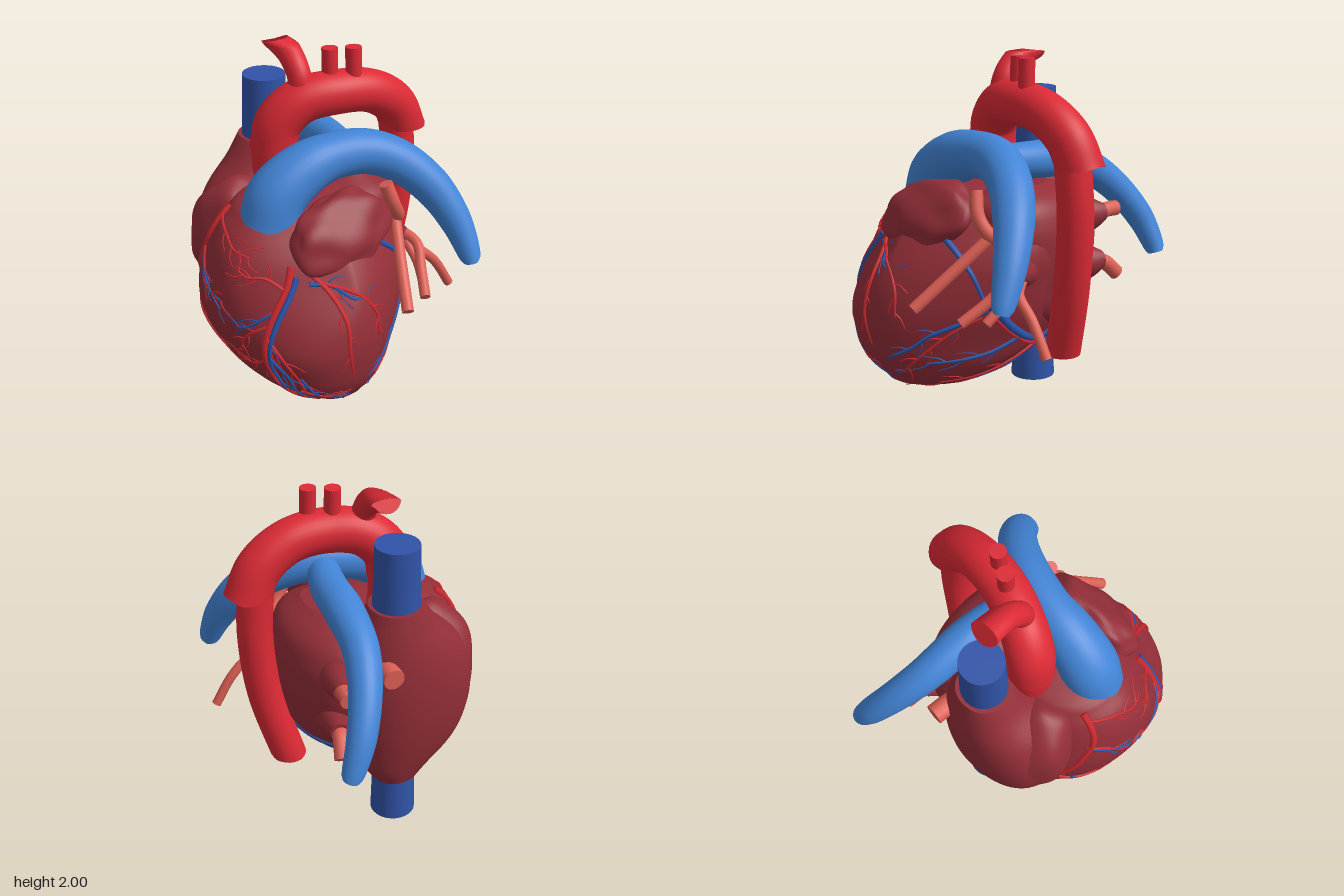
import * as THREE from 'three';
import { mergeGeometries } from 'three/addons/utils/BufferGeometryUtils.js';

const mat = (name, color) => Object.assign(new THREE.MeshStandardMaterial({ color }), { name });
const V = (p) => new THREE.Vector3(...p);

// Capped tube whose radius follows the path points; lo and hi cut it flat in y.
function taperedTube(points, radii, { seg = 40, sides = 24, lo = -9, hi = 9 } = {}) {
  const curve = new THREE.CatmullRomCurve3(points.map(V));
  const radiusAt = (u) => {
    const f = curve.getUtoTmapping(u) * (radii.length - 1);
    const i = Math.min(Math.floor(f), radii.length - 2);
    return THREE.MathUtils.lerp(radii[i], radii[i + 1], f - i);
  };
  const tube = new THREE.TubeGeometry(curve, seg, 1, sides);
  const pos = tube.attributes.position, p = new THREE.Vector3();
  for (let i = 0; i <= seg; i++) {
    const c = curve.getPointAt(i / seg), r = radiusAt(i / seg);
    for (let j = 0; j <= sides; j++) {
      const k = i * (sides + 1) + j;
      p.fromBufferAttribute(pos, k).sub(c).multiplyScalar(r).add(c);
      pos.setXYZ(k, p.x, p.y, p.z);
    }
  }
  const caps = [0, 1].map((u) => {
    const dir = curve.getTangentAt(u).multiplyScalar(u ? 1 : -1);
    const q = new THREE.Quaternion().setFromUnitVectors(new THREE.Vector3(0, 0, 1), dir);
    const c = curve.getPointAt(u);
    return new THREE.CircleGeometry(radiusAt(u), sides).applyQuaternion(q).translate(c.x, c.y, c.z);
  });
  const g = mergeGeometries([tube, ...caps]);
  const a = g.attributes.position;
  for (let k = 0; k < a.count; k++) a.setY(k, THREE.MathUtils.clamp(a.getY(k), lo, hi));
  return g;
}

// Smooth stack of horizontal sections; each row is [y, xMin, xMax, zMin, zMax].
function makeSections(rows) {
  const f = new THREE.CubicInterpolant(rows.map((r) => r[0]), rows.flatMap((r) => r.slice(1)), 4, new Float32Array(4));
  const lo = rows[0][0], hi = rows[rows.length - 1][0];
  const at = (y) => {
    const [x0, x1, z0, z1] = f.evaluate(THREE.MathUtils.clamp(y, lo, hi));
    return { y, cx: (x0 + x1) / 2, cz: (z0 + z1) / 2, rx: Math.max(0, x1 - x0) / 2, rz: Math.max(0, z1 - z0) / 2 };
  };
  return { lo, hi, at };
}
const POWER = 2.2;
const bend = (v) => Math.sign(v) * Math.abs(v) ** (2 / POWER);
const plainZ = (s, u, w) => s.cz + s.rz * w;
// Ventricle sections: the left side is swung forward and flattened behind and above.
const ventricleZ = (s, u, w) => {
  const k = Math.max(0, u) ** 2;
  const cut = w < 0 ? 0.36 : 0.8 * THREE.MathUtils.smoothstep(s.y, 0.5, 1.0);
  return s.cz + s.rz * (w * (1 - cut * k) + 0.14 * k);
};

function loft({ lo, hi, at }, zRule = plainZ, n = 72, m = 52) {
  const pos = [], idx = [];
  for (let j = -1; j <= m + 1; j++) {
    const t = THREE.MathUtils.clamp(j / m, 0, 1);
    const s = at(lo + (hi - lo) * (1 - Math.cos(Math.PI * t)) / 2), k = j < 0 || j > m ? 0 : 1;
    for (let i = 0; i < n; i++) {
      const a = (i / n) * Math.PI * 2, u = k * bend(Math.cos(a));
      pos.push(s.cx + s.rx * u, s.y, zRule(s, u, k * bend(Math.sin(a))));
    }
  }
  for (let j = 0; j < m + 2; j++) for (let i = 0; i < n; i++) {
    const a = j * n + i, b = j * n + (i + 1) % n;
    idx.push(a, a + n, b, b, a + n, b + n);
  }
  const g = new THREE.BufferGeometry();
  g.setAttribute('position', new THREE.Float32BufferAttribute(pos, 3));
  g.setIndex(idx);
  g.computeVertexNormals();
  return g;
}

// Ellipsoid with gentle lumps.
function lump(radii, amount, freq) {
  const g = new THREE.SphereGeometry(1, 48, 32), a = g.attributes.position, p = new THREE.Vector3();
  for (let i = 0; i < a.count; i++) {
    p.fromBufferAttribute(a, i);
    const k = 1 + amount * Math.sin(p.x * freq + 1) * Math.sin(p.y * freq) * Math.cos(p.z * freq);
    a.setXYZ(i, p.x * k * radii[0], p.y * k * radii[1], p.z * k * radii[2]);
  }
  g.computeVertexNormals();
  return g;
}

export function createModel() {
  const group = new THREE.Group();
  const muscle = mat('heart muscle', 0x932e38), aortaRed = mat('aorta red', 0xdc2a35);
  const lungBlue = mat('pulmonary artery blue', 0x4284d6), cavaBlue = mat('vena cava blue', 0x3154a8);
  const salmon = mat('pulmonary vein salmon', 0xdc5f54);
  const coronaryRed = mat('coronary red', 0xd0292f), coronaryBlue = mat('coronary blue', 0x2a55ac);
  const add = (name, geometry, material) => {
    const m = new THREE.Mesh(geometry, material);
    m.name = name;
    group.add(m);
    return m;
  };

  // Ventricles
  const body = makeSections([
    [0.178, 0.46, 0.5, 0.14, 0.18], [0.2, 0.27, 0.63, 0, 0.33], [0.25, 0.03, 0.69, -0.15, 0.46],
    [0.35, -0.21, 0.76, -0.28, 0.6], [0.5, -0.385, 0.795, -0.37, 0.68], [0.65, -0.385, 0.8, -0.43, 0.735],
    [0.8, -0.36, 0.77, -0.46, 0.75], [0.95, -0.31, 0.7, -0.48, 0.725], [1.1, -0.25, 0.585, -0.44, 0.66],
    [1.2, -0.2, 0.47, -0.35, 0.56], [1.27, -0.1, 0.33, -0.2, 0.4], [1.3, 0.1, 0.16, 0.05, 0.11]]);
  add('ventricles', loft(body, ventricleZ), muscle);

  // Atria and auricles
  add('rightAtrium', loft(makeSections([
    [0.28, -0.465, -0.175, -0.12, 0.16], [0.36, -0.49, -0.15, -0.17, 0.25], [0.5, -0.53, -0.11, -0.2, 0.41],
    [0.7, -0.56, -0.06, -0.23, 0.5], [0.95, -0.565, -0.04, -0.24, 0.5], [1.15, -0.54, -0.06, -0.22, 0.41],
    [1.3, -0.505, -0.12, -0.18, 0.26], [1.425, -0.475, -0.17, -0.13, 0.17]])), muscle);
  add('leftAtrium', loft(makeSections([
    [0.5, -0.15, 0.15, -0.35, -0.1], [0.6, -0.3, 0.3, -0.44, 0], [0.75, -0.4, 0.39, -0.48, 0.1],
    [0.95, -0.43, 0.43, -0.505, 0.1], [1.12, -0.41, 0.42, -0.49, 0.1], [1.24, -0.32, 0.38, -0.42, 0.05],
    [1.31, -0.1, 0.25, -0.3, -0.1]])), muscle);
  const rightAuricle = add('rightAuricle', lump([0.21, 0.35, 0.24], 0.08, 4), muscle);
  rightAuricle.position.set(-0.27, 0.95, 0.32);
  rightAuricle.rotation.z = -0.42;
  const leftAuricle = add('leftAuricle', lump([0.115, 0.21, 0.32], 0.12, 4.5), muscle);
  leftAuricle.position.set(0.48, 1.155, 0.14);
  leftAuricle.rotation.set(0.2, 0, 0.58);

  // Venae cavae
  for (const [name, y0, y1] of [['superiorVenaCava', 1.38, 1.785], ['inferiorVenaCava', 0, 0.34]])
    add(name, new THREE.CylinderGeometry(0.122, 0.132, y1 - y0, 40).translate(-0.325, (y0 + y1) / 2, 0.02), cavaBlue);

  // Aorta and its branches
  add('aorticRoot', taperedTube([[-0.07, 1.1, 0.1], [-0.085, 1.3, 0.135], [-0.09, 1.5, 0.145]], [0.122, 0.124, 0.127], { hi: 1.46 }), aortaRed);
  add('aorticArch', taperedTube([[-0.09, 1.42, 0.145], [-0.07, 1.6, 0.12], [-0.01, 1.715, 0.01], [0.07, 1.745, -0.17],
    [0.12, 1.715, -0.38], [0.14, 1.6, -0.55], [0.14, 1.42, -0.64]], [0.133, 0.133, 0.128, 0.124, 0.122, 0.125, 0.13],
  { seg: 60, sides: 32, lo: 1.455 }), aortaRed);
  add('descendingAorta', taperedTube([[0.14, 1.55, -0.57], [0.14, 1.2, -0.6], [0.12, 0.8, -0.57], [0.05, 0.34, -0.465]],
    [0.1, 0.1, 0.1, 0.1], { lo: 0.36 }), aortaRed);
  add('brachiocephalicArtery', taperedTube([[0, 1.75, 0.01], [-0.03, 1.87, 0.01], [-0.12, 1.96, 0], [-0.26, 2.03, -0.01]],
    [0.075, 0.066, 0.07, 0.085], { hi: 2 }), aortaRed);
  for (const [name, x, z] of [['carotidArtery', 0.05, -0.145], ['subclavianArtery', 0.12, -0.255]])
    add(name, taperedTube([[x, 1.75, z], [x, 1.87, z], [x - 0.005, 2, z]], [0.052, 0.045, 0.045], { seg: 10, hi: 2 }), aortaRed);

  // Pulmonary arteries
  add('leftPulmonaryArtery', taperedTube([[0.17, 1.15, 0.39], [0.175, 1.31, 0.33], [0.2, 1.425, 0.17], [0.23, 1.465, 0],
    [0.3, 1.46, -0.2], [0.4, 1.385, -0.36], [0.53, 1.24, -0.49], [0.66, 1.04, -0.57], [0.76, 0.84, -0.6], [0.77, 0.81, -0.6]],
  [0.165, 0.168, 0.15, 0.13, 0.126, 0.12, 0.11, 0.09, 0.06, 0.04], { seg: 64, sides: 32 }), lungBlue);
  add('rightPulmonaryArtery', taperedTube([[0.22, 1.44, -0.12], [0, 1.425, -0.2], [-0.2, 1.41, -0.24], [-0.45, 1.32, -0.29],
    [-0.62, 1.18, -0.37], [-0.74, 0.99, -0.47], [-0.78, 0.81, -0.55], [-0.78, 0.78, -0.56]],
  [0.09, 0.105, 0.11, 0.1, 0.09, 0.08, 0.06, 0.045], { seg: 56, sides: 28 }), lungBlue);

  // Pulmonary veins
  const veins = [
    [[[0.47, 1.33, -0.19], [0.5, 1.2, -0.23], [0.47, 1.1, -0.29], [0.34, 1.05, -0.3]], 0.038],
    [[[0.42, 1.13, -0.31], [0.6, 0.95, -0.19], [0.82, 0.735, -0.05]], 0.033],
    [[[0.36, 0.92, -0.42], [0.5, 0.88, -0.43], [0.6, 0.78, -0.37], [0.72, 0.68, -0.29]], 0.03],
    [[[0.36, 0.86, -0.42], [0.47, 0.81, -0.48], [0.5, 0.7, -0.59], [0.52, 0.52, -0.7]], 0.028],
    [[[0.42, 0.87, -0.42], [0.52, 0.77, -0.42], [0.62, 0.67, -0.38]], 0.028],
    [[[-0.38, 1.06, -0.38], [-0.47, 1.08, -0.4], [-0.54, 1.08, -0.42]], 0.045],
    [[[-0.4, 1.1, -0.13], [-0.5, 1.13, -0.14], [-0.565, 1.13, -0.15]], 0.06],
    [[[-0.36, 0.79, -0.37], [-0.44, 0.77, -0.41], [-0.52, 0.69, -0.45]], 0.045]];
  veins.forEach(([path, r]) => add('pulmonaryVein', taperedTube(path, path.map(() => r), { seg: 20, sides: 14 }), salmon));
  for (const [x, y, z] of [[-0.44, 1.07, -0.39], [-0.42, 0.79, -0.4], [0.42, 0.89, -0.41]])
    add('veinCollar', taperedTube([[x * 0.55, y, z * 0.75], [x * 0.8, y, z * 0.92], [x, y, z]], [0.14, 0.1, 0.055], { seg: 12 }), muscle);

  // Coronary vessels: 2D paths laid on the ventricles from the front, back or left side
  const rim = (c) => (1 - Math.min(Math.abs(c), 0.985) ** POWER) ** (1 / POWER);
  const fromZ = (x, y, dir) => {
    const s = body.at(y), u = (x - s.cx) / s.rx;
    return [x, y, ventricleZ(s, u, dir * rim(u))];
  };
  const fromSide = (z, y) => {
    const s = body.at(y), dir = z > ventricleZ(s, 0.985, 0) ? 1 : -1;
    let a = 0, b = 0.985;
    for (let i = 0; i < 20; i++) {
      const u = (a + b) / 2;
      if (dir * (ventricleZ(s, u, dir * rim(u)) - z) > 0) a = u; else b = u;
    }
    return [s.cx + s.rx * a, y, z];
  };
  const project = { front: (x, y) => fromZ(x, y, 1), back: (x, y) => fromZ(x, y, -1), side: fromSide };
  const red = [], blue = [];
  const drape = (list, face, path, r, n) => {
    const pts = new THREE.SplineCurve(path.map((p) => new THREE.Vector2(...p))).getPoints(n);
    const w = pts.map((p) => project[face](p.x, Math.max(p.y, 0.19)));
    list.push(taperedTube(w, w.map((_, i) => r * (1 - 0.55 * i / n)), { seg: n * 2, sides: 6 }));
    return pts;
  };
  const vessel = (list, face, r, ...path) => {
    const pts = drape(list, face, path, r, 18);
    // Short side twigs, alternating left and right
    [5, 8, 11, 14, 17].forEach((k, i) => {
      const p = pts[k], d = pts[k].clone().sub(pts[k - 1]).normalize(), s = i % 2 ? 1 : -1;
      const at = (len, ang) => d.clone().rotateAround(new THREE.Vector2(), ang * s).multiplyScalar(len).add(p).toArray();
      drape(list, face, [[p.x, p.y], at(0.045, 0.8), at(0.1, 0.55)], Math.min(r * 0.5, 0.006), 6);
    });
  };
  // Right coronary artery and its branches
  drape(red, 'front', [[-0.04, 1.22], [-0.08, 1.05], [-0.16, 0.9], [-0.26, 0.72], [-0.34, 0.58], [-0.36, 0.5]], 0.022, 18);
  vessel(red, 'front', 0.014, [-0.3, 0.68], [-0.2, 0.6], [-0.05, 0.58], [0.05, 0.5], [0.16, 0.47]);
  vessel(blue, 'front', 0.012, [-0.22, 0.63], [-0.16, 0.55], [-0.08, 0.5], [-0.04, 0.42]);
  vessel(red, 'front', 0.015, [-0.35, 0.48], [-0.2, 0.37], [0, 0.285], [0.2, 0.25], [0.4, 0.23]);
  vessel(blue, 'front', 0.014, [-0.33, 0.5], [-0.19, 0.395], [0.02, 0.305], [0.22, 0.27]);
  vessel(red, 'front', 0.012, [-0.12, 1.0], [-0.03, 0.95], [0.06, 0.85], [0.22, 0.83]);
  vessel(blue, 'front', 0.013, [-0.1, 0.98], [-0.01, 0.92], [0.08, 0.86], [0.2, 0.78]);
  vessel(red, 'front', 0.01, [-0.04, 1.18], [0.1, 1.15], [0.2, 1.11], [0.3, 1.09]);
  // Anterior vessels
  vessel(red, 'front', 0.022, [0.46, 1.05], [0.49, 0.95], [0.495, 0.8], [0.49, 0.6], [0.5, 0.45], [0.56, 0.32], [0.58, 0.22]);
  vessel(blue, 'front', 0.019, [0.5, 1.0], [0.52, 0.88], [0.52, 0.7], [0.515, 0.52], [0.54, 0.4], [0.53, 0.25]);
  vessel(red, 'front', 0.011, [0.48, 0.95], [0.4, 1.0], [0.33, 1.0], [0.27, 1.03]);
  vessel(red, 'front', 0.012, [0.49, 0.77], [0.42, 0.72], [0.36, 0.65], [0.32, 0.55]);
  vessel(blue, 'front', 0.011, [0.5, 0.85], [0.43, 0.78], [0.38, 0.74], [0.33, 0.73]);
  vessel(red, 'front', 0.011, [0.49, 0.57], [0.42, 0.51], [0.34, 0.48], [0.25, 0.48]);
  vessel(blue, 'front', 0.012, [0.51, 0.6], [0.58, 0.5], [0.6, 0.4], [0.58, 0.3]);
  vessel(red, 'front', 0.011, [0.5, 0.7], [0.57, 0.62], [0.63, 0.5], [0.65, 0.35]);
  // Left side vessels
  vessel(red, 'side', 0.018, [0.4, 1.02], [0.35, 0.93], [0.33, 0.8], [0.34, 0.62], [0.3, 0.45]);
  vessel(red, 'side', 0.014, [0.36, 0.97], [0.24, 0.92], [0.14, 0.8], [0.12, 0.65]);
  vessel(blue, 'side', 0.015, [0.42, 0.97], [0.33, 0.96], [0.26, 0.9], [0.18, 0.88]);
  vessel(blue, 'side', 0.016, [-0.3, 0.7], [-0.2, 0.63], [-0.05, 0.55], [0.05, 0.47], [0.2, 0.39]);
  vessel(red, 'side', 0.012, [-0.28, 0.66], [-0.15, 0.57], [-0.02, 0.45], [0.1, 0.33]);
  vessel(blue, 'side', 0.01, [0.56, 0.48], [0.48, 0.36], [0.36, 0.29], [0.22, 0.26]);
  vessel(red, 'side', 0.009, [0.54, 0.38], [0.42, 0.33], [0.3, 0.34], [0.2, 0.3]);
  drape(blue, 'side', [[-0.06, 1.06], [-0.16, 0.98], [-0.24, 0.88], [-0.3, 0.72]], 0.02, 14);
  // Posterior vessels
  drape(blue, 'back', [[0.5, 0.74], [0.4, 0.6], [0.22, 0.48], [0, 0.43], [-0.2, 0.43]], 0.03, 16);
  drape(red, 'back', [[0.5, 0.68], [0.38, 0.55], [0.2, 0.44], [0, 0.4], [-0.16, 0.4]], 0.016, 16);
  vessel(blue, 'back', 0.017, [-0.1, 0.41], [0.08, 0.33], [0.26, 0.26], [0.42, 0.215]);
  vessel(red, 'back', 0.013, [0.1, 0.42], [0.28, 0.35], [0.45, 0.28], [0.58, 0.24]);
  vessel(blue, 'back', 0.015, [0.3, 0.52], [0.45, 0.44], [0.58, 0.4], [0.68, 0.38]);
  add('coronaryArteries', mergeGeometries(red), coronaryRed);
  add('coronaryVeins', mergeGeometries(blue), coronaryBlue);
  return group;
}
